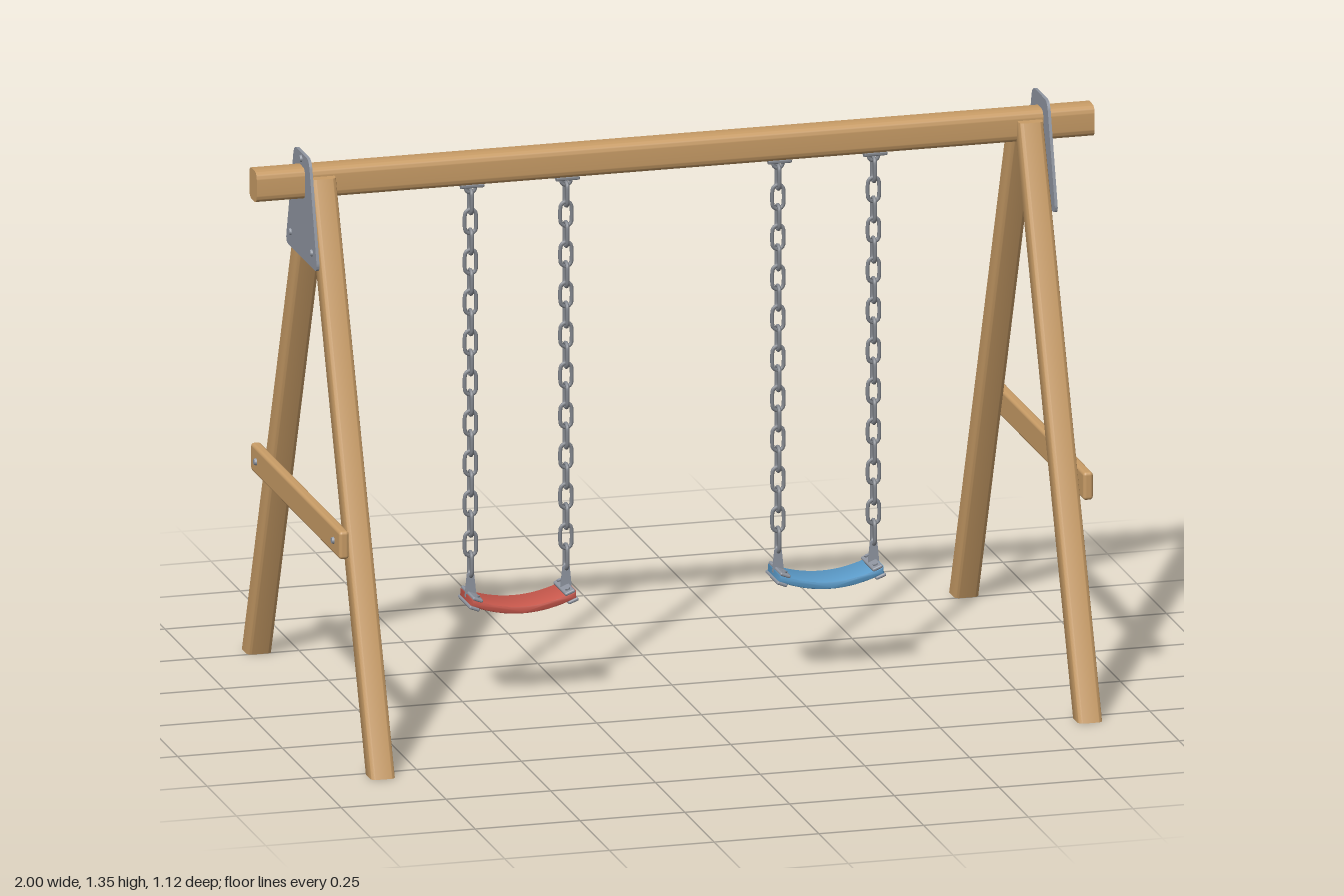
import * as THREE from 'three';
import { toCreasedNormals } from 'three/addons/utils/BufferGeometryUtils.js';
import { RoundedBoxGeometry } from 'three/addons/geometries/RoundedBoxGeometry.js';

const mat = (name, color) => {
  const m = new THREE.MeshStandardMaterial({ color });
  m.name = name;
  return m;
};

// rectangle with rounded corners, centred on the origin
function roundedRect(w, h, r) {
  const s = new THREE.Shape(), x = w / 2 - r, y = h / 2 - r;
  s.absarc(x, y, r, 0, Math.PI / 2);
  s.absarc(-x, y, r, Math.PI / 2, Math.PI);
  s.absarc(-x, -y, r, Math.PI, Math.PI * 1.5);
  s.absarc(x, -y, r, Math.PI * 1.5, Math.PI * 2);
  s.closePath();
  return s;
}

// closed polygon with its corners cut by small curves
function roundedPoly(pts, r) {
  const s = new THREE.Shape();
  const v = pts.map(p => new THREE.Vector2(...p));
  v.forEach((p, i) => {
    const toward = q => p.clone().add(q.clone().sub(p).setLength(r));
    const a = toward(v[(i + v.length - 1) % v.length]);
    const b = toward(v[(i + 1) % v.length]);
    if (i) s.lineTo(a.x, a.y); else s.moveTo(a.x, a.y);
    s.quadraticCurveTo(p.x, p.y, b.x, b.y);
  });
  s.closePath();
  return s;
}

const extrude = (shape, depth, opts = {}) =>
  new THREE.ExtrudeGeometry(shape, { depth, bevelEnabled: false, curveSegments: 5, ...opts });

export function createModel() {
  const wood = mat('wood', 0xc89c66);
  const steel = mat('plateSteel', 0x8f95a0);
  const chainSteel = mat('chainSteel', 0x84888f);
  const red = mat('redRubber', 0xc8584c);
  const blue = mat('blueRubber', 0x5b9bc9);

  const model = new THREE.Group();
  model.name = 'swingSet';
  const add = (parent, name, geo, material, x = 0, y = 0, z = 0) => {
    const m = new THREE.Mesh(geo, material);
    m.name = name;
    m.position.set(x, y, z);
    parent.add(m);
    return m;
  };

  // top beam
  const beamGeo = toCreasedNormals(extrude(roundedRect(0.064, 0.074, 0.018), 2)
    .translate(0, 0, -1).rotateY(Math.PI / 2), 0.6);
  add(model, 'topBeam', beamGeo, wood, 0, 1.279, 0);

  // leaning leg: an upright post sheared in z so both ends stay level
  const legGeo = side => {
    const g = extrude(roundedRect(0.058, 0.061, 0.012), 1.295).rotateX(-Math.PI / 2);
    const p = g.attributes.position;
    for (let i = 0; i < p.count; i++)
      p.setZ(i, p.getZ(i) + side * (0.527 - 0.388 * p.getY(i)));
    return toCreasedNormals(g, 0.6);
  };

  // end frames: legs, crossbar, gusset plate and bolts
  const plateShape = roundedPoly([[-0.134, 1.096], [0.134, 1.096], [0.063, 1.347], [-0.063, 1.347]], 0.022);
  const plateGeo = toCreasedNormals(extrude(plateShape, 0.007)
    .translate(0, 0, -0.0035).rotateY(Math.PI / 2), 0.6);
  const braceGeo = new RoundedBoxGeometry(0.024, 0.067, 0.758, 3, 0.008);
  const boltGeo = new THREE.CylinderGeometry(0.007, 0.009, 0.007, 14).rotateZ(-Math.PI / 2);
  for (const sx of [-1, 1]) {
    const frame = new THREE.Group();
    frame.name = sx > 0 ? 'leftFrame' : 'rightFrame';
    model.add(frame);
    add(frame, 'frontLeg', legGeo(1), wood, sx * 0.844);
    add(frame, 'backLeg', legGeo(-1), wood, sx * 0.844);
    add(frame, 'crossbar', braceGeo, wood, sx * 0.888, 0.5125, 0);
    add(frame, 'gussetPlate', plateGeo, steel, sx * 0.881);
    const bolts = [[0.886, 1.132, 0.09], [0.886, 1.132, -0.09], [0.886, 1.333, 0],
      [0.902, 0.513, 0.33], [0.902, 0.513, -0.33]];
    for (const [x, y, z] of bolts) {
      const b = add(frame, 'bolt', boltGeo, steel, sx * x, y, z);
      if (sx < 0) b.rotation.y = Math.PI;
    }
  }

  // oval chain link, upright in the xy plane
  const linkPts = [];
  for (let i = 0; i < 16; i++) {
    const a = (i + 0.5) / 16 * Math.PI * 2;
    linkPts.push(new THREE.Vector3(Math.cos(a) * 0.0132,
      Math.sin(a) * 0.0132 + Math.sign(Math.sin(a)) * 0.0155, 0));
  }
  const linkGeo = new THREE.TubeGeometry(
    new THREE.CatmullRomCurve3(linkPts, true), 32, 0.0047, 7, true);

  // hanging hardware shapes
  const mountGeo = new RoundedBoxGeometry(0.055, 0.009, 0.045, 2, 0.003);
  const eyeGeo = new THREE.TorusGeometry(0.012, 0.0045, 7, 18);
  const screwGeo = new THREE.CylinderGeometry(0.006, 0.005, 0.006, 12);
  const tabGeo = extrude(roundedPoly([[-0.014, 0], [0.014, 0], [0.008, 0.06], [-0.008, 0.06]], 0.006), 0.005)
    .translate(0, 0, -0.0025);
  const clampGeo = new RoundedBoxGeometry(0.026, 0.008, 0.104, 3, 0.0035);

  // sagging seat: a curved strip extruded across z
  const curve = x => 0.223 + 1.75 * x * x;
  const outline = [];
  for (let i = 0; i <= 16; i++) {
    const x = -0.122 + 0.244 * i / 16;
    outline.push(new THREE.Vector2(x, curve(x) - 0.005));
  }
  for (let i = 16; i >= 0; i--) {
    const x = -0.122 + 0.244 * i / 16;
    outline.push(new THREE.Vector2(x, curve(x) + 0.005));
  }
  const seatGeo = toCreasedNormals(extrude(new THREE.Shape(outline), 0.09, {
    bevelEnabled: true, bevelSize: 0.004, bevelThickness: 0.004, bevelSegments: 2,
  }).translate(0, 0, -0.045), 0.6);

  for (const [cx, colour, name] of [[-0.367, red, 'redSwing'], [0.367, blue, 'blueSwing']]) {
    const swing = new THREE.Group();
    swing.name = name;
    swing.position.x = cx;
    model.add(swing);
    add(swing, 'seat', seatGeo, colour);

    for (const s of [-1, 1]) {
      const x = s * 0.114;
      // beam mount with eye and screws
      add(swing, 'chainMount', mountGeo, chainSteel, x, 1.2395, 0);
      add(swing, 'mountEye', eyeGeo, chainSteel, x, 1.231, 0);
      for (const k of [-1, 1])
        add(swing, 'mountScrew', screwGeo, chainSteel, x + k * 0.02, 1.233, 0);

      // chain with every second link turned a quarter
      const chain = new THREE.Group();
      chain.name = 'chain';
      swing.add(chain);
      for (let i = 0; i < 19; i++) {
        const link = add(chain, 'chainLink', linkGeo, chainSteel, x, 1.198 - i * 0.0483, 0);
        link.rotation.y = i % 2 ? 0 : Math.PI / 2;
      }

      // seat hanger and clamp
      add(swing, 'seatTab', tabGeo, steel, x, 0.248, 0);
      const clamp = new THREE.Group();
      clamp.name = 'seatClamp';
      clamp.position.set(x, curve(x), 0);
      clamp.rotation.z = s * 0.37;
      swing.add(clamp);
      add(clamp, 'clampTop', clampGeo, steel, 0, 0.011, 0);
      add(clamp, 'clampBottom', clampGeo, steel, 0, -0.011, 0);
      for (const k of [-1, 1])
        add(clamp, 'clampBolt', screwGeo, steel, 0, 0.016, k * 0.036);
    }
  }
  return model;
}
